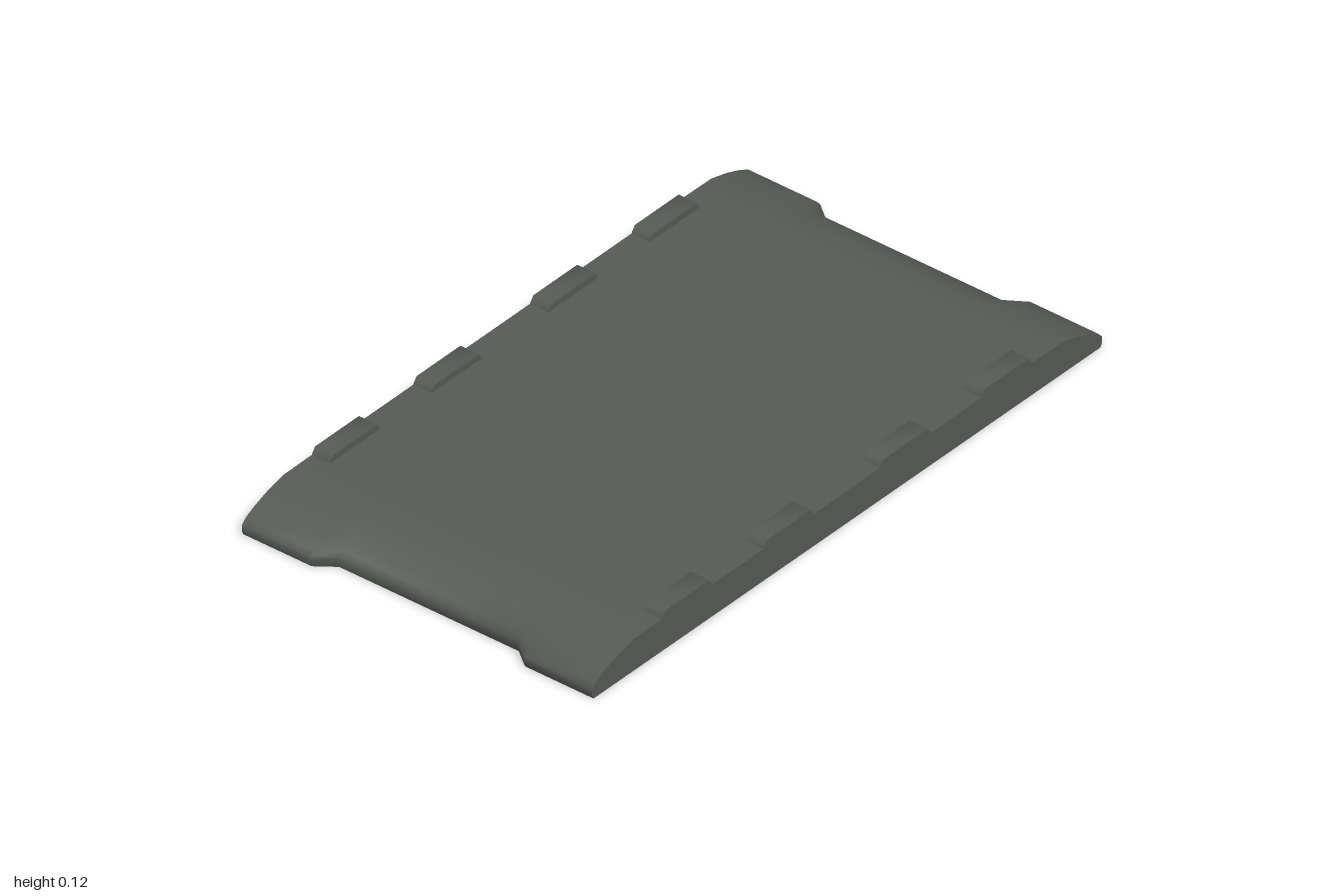
import * as THREE from 'three';
import { toCreasedNormals } from 'three/addons/utils/BufferGeometryUtils.js';

// Skins a convex [z, y] ring, running front to back over the top, along stations in x
function loft(xs, ringAt, crease) {
  const rings = xs.map(ringAt);
  const n = rings[0].length;
  const pos = [], index = [];
  rings.forEach((ring, i) => ring.forEach(([z, y]) => pos.push(xs[i], y, z)));
  for (let i = 0; i < xs.length - 1; i++) {
    for (let j = 0; j < n; j++) {
      const k = (j + 1) % n;
      const a = i * n + j, b = a + n, c = (i + 1) * n + k, d = i * n + k;
      index.push(a, b, c, a, c, d);
    }
  }
  const last = (xs.length - 1) * n;
  for (let k = 1; k < n - 1; k++) {
    index.push(0, k, k + 1, last, last + k + 1, last + k);
  }
  const geometry = new THREE.BufferGeometry();
  geometry.setAttribute('position', new THREE.Float32BufferAttribute(pos, 3));
  geometry.setIndex(index);
  return toCreasedNormals(geometry, crease);
}

export function createModel() {
  const model = new THREE.Group();
  model.name = 'ribbedPlate';
  const grey = new THREE.MeshStandardMaterial({ color: 0x565b56 });
  grey.name = 'dark grey';

  // Plate: rounded nose at both ends, each with a shallow notch in the middle
  const flatEnd = 0.84, notch = 0.043;
  const nose = [
    [0.994, 0], [1, 0.012], [1, 0.03], [0.985, 0.046],
    [0.95, 0.063], [0.9, 0.081], [flatEnd, 0.096], [0.76, 0.097],
  ];
  const plateRing = (x) => {
    const inset = Math.abs(x) < 0.3 ? notch : 0;
    const half = nose.map(([z, y]) => [
      z - inset * Math.max(0, (z - flatEnd) / (1 - flatEnd)), y,
    ]);
    return [...half, ...half.map(([z, y]) => [-z, y]).reverse()];
  };
  const plate = new THREE.Mesh(
    loft([-0.565, -0.345, -0.29, 0.29, 0.345, 0.565], plateRing, 0.8), grey);
  plate.name = 'plate';
  model.add(plate);

  // Raised tabs along both long edges
  const tabRing = () => [[0.1, 0.09], [0.098, 0.1], [0.086, 0.116],
    [-0.086, 0.116], [-0.098, 0.1], [-0.1, 0.09]];
  const tabGeometry = loft([-0.0295, 0.0295], tabRing, 1.1);
  for (const side of [-1, 1]) {
    for (const z of [-0.627, -0.229, 0.229, 0.627]) {
      const tab = new THREE.Mesh(tabGeometry, grey);
      tab.name = side > 0 ? 'leftTab' : 'rightTab';
      tab.position.set(side * 0.5355, 0, z);
      model.add(tab);
    }
  }
  return model;
}
